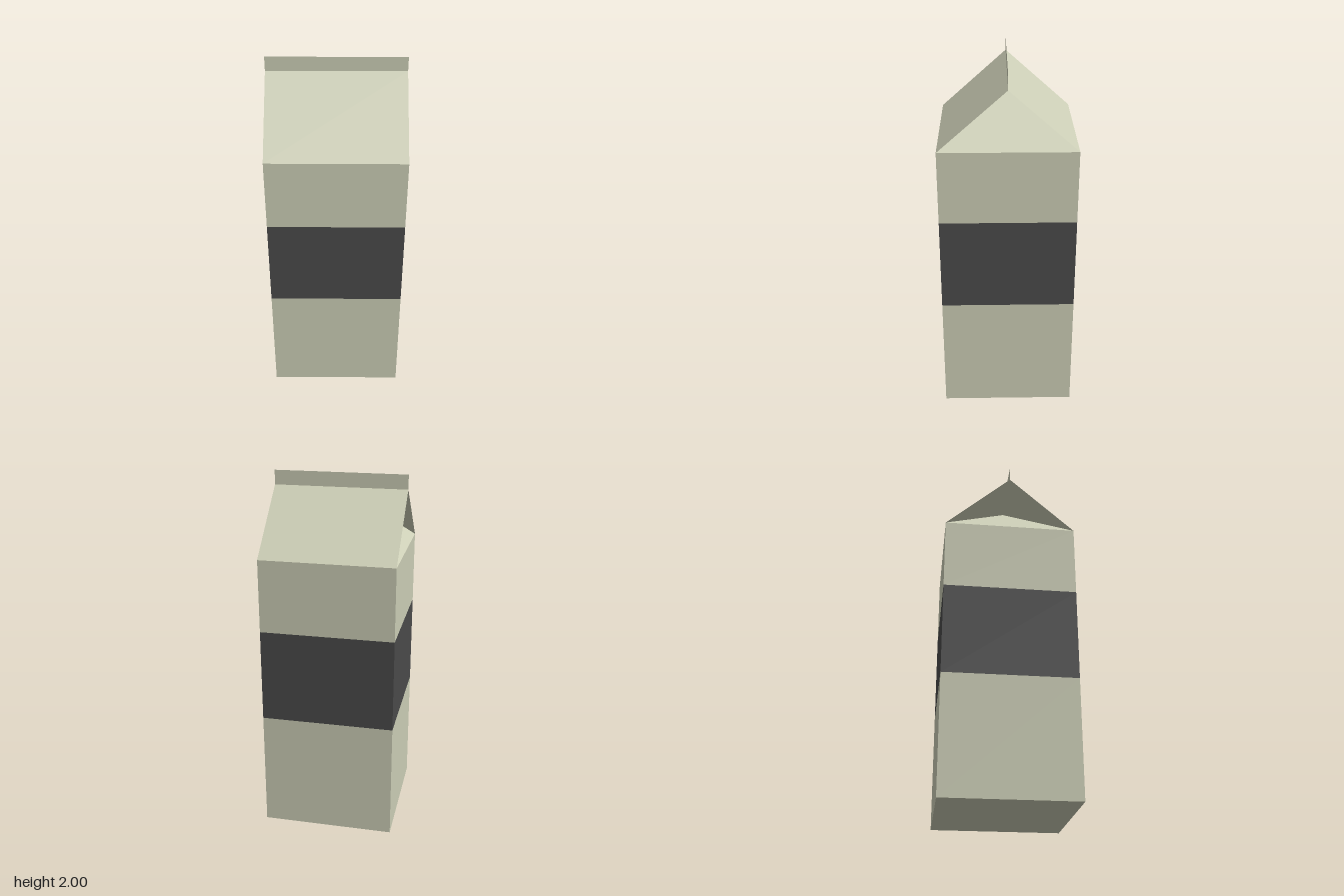
import * as THREE from 'three';

const HALF = 0.37;      // half width of the square carton
const SHOULDER = 1.59;  // top of the walls
const RIDGE = 1.92;     // top of the sloped roof
const TOP = 2.0;        // top of the sealed fin

const card = new THREE.MeshStandardMaterial({ color: 0xcdcfb7, flatShading: true, side: THREE.DoubleSide });
const dark = new THREE.MeshStandardMaterial({ color: 0x4b4b4b, flatShading: true, side: THREE.DoubleSide });

function addMesh(parent, name, geometry, material) {
  const mesh = new THREE.Mesh(geometry, material);
  mesh.name = name;
  parent.add(mesh);
  return mesh;
}

// Flat convex panel through the given corners, counter-clockwise from outside
function panel(...corners) {
  const geometry = new THREE.BufferGeometry().setFromPoints(corners.map((c) => new THREE.Vector3(...c)));
  const index = [];
  for (let i = 1; i < corners.length - 1; i++) index.push(0, i, i + 1);
  geometry.setIndex(index);
  geometry.computeVertexNormals();
  return geometry;
}

// Open square sleeve between two heights
function sleeve(y0, y1) {
  const r = HALF * Math.SQRT2;
  return new THREE.CylinderGeometry(r, r, y1 - y0, 4, 1, true, Math.PI / 4).translate(0, (y0 + y1) / 2, 0);
}

export function createModel() {
  const carton = new THREE.Group();
  carton.name = 'carton';

  // Walls with a dark band, and the base
  addMesh(carton, 'lowerWalls', sleeve(0, 0.665), card);
  addMesh(carton, 'bandWalls', sleeve(0.665, 1.185), dark);
  addMesh(carton, 'upperWalls', sleeve(1.185, SHOULDER), card);
  addMesh(carton, 'base', new THREE.PlaneGeometry(2 * HALF, 2 * HALF).rotateX(Math.PI / 2), card);

  // Sloped roof panels and tucked-in side gussets, mirrored by half a turn
  for (const [side, angle] of [['front', 0], ['back', Math.PI]]) {
    const roof = panel([-HALF, SHOULDER, HALF], [HALF, SHOULDER, HALF], [HALF, RIDGE, 0], [-HALF, RIDGE, 0]);
    addMesh(carton, side + 'RoofPanel', roof, card).rotation.y = angle;
  }
  for (const [side, angle] of [['left', 0], ['right', Math.PI]]) {
    const gusset = panel([HALF, SHOULDER, HALF], [HALF, SHOULDER, -HALF], [0, RIDGE, 0]);
    addMesh(carton, side + 'Gusset', gusset, card).rotation.y = angle;
  }

  // Sealed fin along the ridge
  const fin = new THREE.PlaneGeometry(2 * HALF, TOP - RIDGE).translate(0, (TOP + RIDGE) / 2, 0);
  addMesh(carton, 'topFin', fin, card);

  return carton;
}
